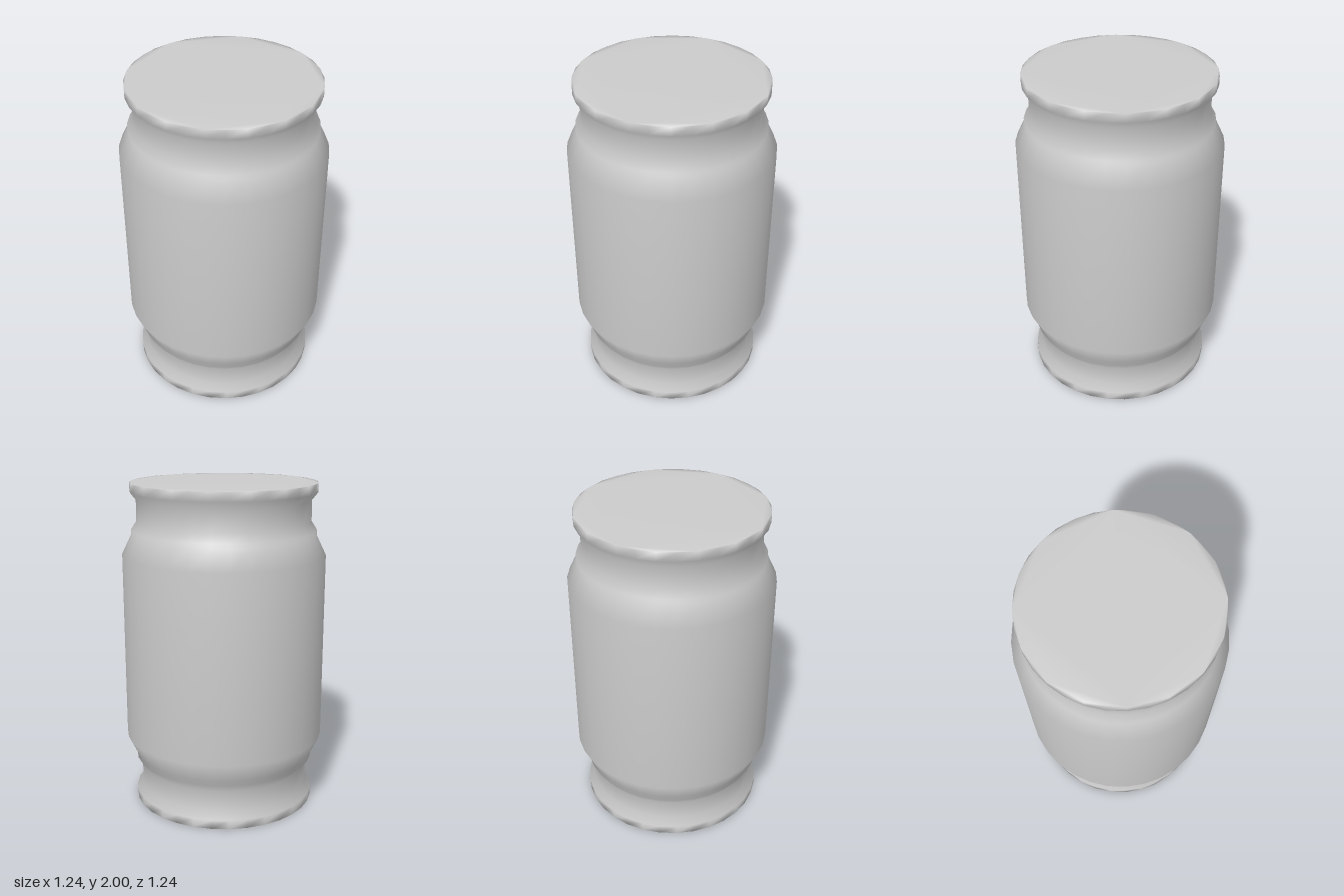
import * as THREE from 'three';

const SIDES = 32;

// Lower half of the outline as [radius, height]; the upper half mirrors it
const half = [
  [0.563, 0], [0.563, 0.055], [0.527, 0.1], [0.527, 0.23],
  [0.56, 0.28], [0.56, 0.31], [0.618, 0.43],
];
const profile = [...half, ...half.map(([r, y]) => [r, 2 - y]).reverse()];

// Closed turned solid with shared vertices, so shading runs smoothly over the rims
function turnedSolid(outline) {
  const positions = [], index = [];
  for (const [r, y] of outline) {
    for (let i = 0; i < SIDES; i++) {
      const a = (i / SIDES) * Math.PI * 2;
      positions.push(r * Math.sin(a), y, r * Math.cos(a));
    }
  }
  // Side wall
  for (let k = 0; k < outline.length - 1; k++) {
    for (let i = 0; i < SIDES; i++) {
      const j = (i + 1) % SIDES;
      const a = k * SIDES + i, b = k * SIDES + j;
      index.push(a, b, b + SIDES, a, b + SIDES, a + SIDES);
    }
  }
  // Flat ends, filled from the rim inwards by joining every other corner
  const top = (outline.length - 1) * SIDES;
  for (let step = 1; step < SIDES / 2; step *= 2) {
    for (let i = 0; i < SIDES; i += step * 2) {
      const m = i + step, e = (i + step * 2) % SIDES;
      index.push(top + i, top + m, top + e);
      index.push(i, e, m);
    }
  }
  const geometry = new THREE.BufferGeometry();
  geometry.setAttribute('position', new THREE.Float32BufferAttribute(positions, 3));
  geometry.setIndex(index);
  geometry.computeVertexNormals();
  return geometry;
}

export function createModel() {
  const group = new THREE.Group();
  group.name = 'barrel';
  const body = new THREE.Mesh(
    turnedSolid(profile),
    new THREE.MeshStandardMaterial({ color: 0xcccccc }),
  );
  body.name = 'barrelBody';
  group.add(body);
  return group;
}
